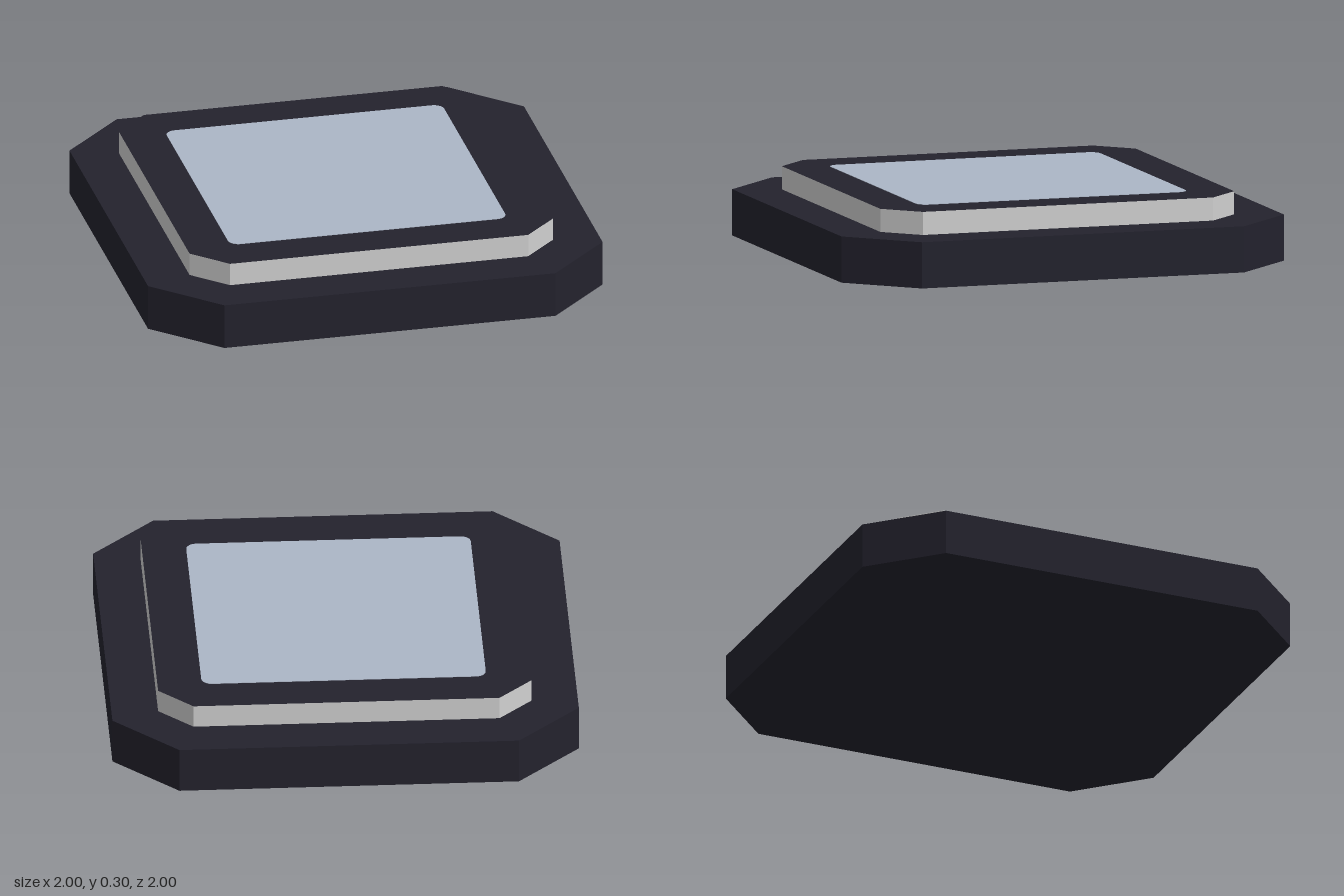
import * as THREE from 'three';

// Square outline with clipped corners: half = half width, flat = half length of each straight side
function clippedSquare(half, flat) {
  return new THREE.Shape([
    [flat, -half], [half, -flat], [half, flat], [flat, half],
    [-flat, half], [-half, flat], [-half, -flat], [-flat, -half],
  ].map(([x, y]) => new THREE.Vector2(x, y)));
}

// Square outline with rounded corners
function roundedSquare(half, radius) {
  const c = half - radius;
  const s = new THREE.Shape();
  s.absarc(c, -c, radius, -Math.PI / 2, 0);
  s.absarc(c, c, radius, 0, Math.PI / 2);
  s.absarc(-c, c, radius, Math.PI / 2, Math.PI);
  s.absarc(-c, -c, radius, Math.PI, Math.PI * 1.5);
  s.closePath();
  return s;
}

// Extrudes an outline upwards from height y
function slab(name, shape, y, height, materials) {
  const geometry = new THREE.ExtrudeGeometry(shape, { depth: height, bevelEnabled: false, curveSegments: 6 });
  geometry.rotateX(-Math.PI / 2);
  geometry.translate(0, y, 0);
  const mesh = new THREE.Mesh(geometry, materials);
  mesh.name = name;
  return mesh;
}

function flat(name, color) {
  const material = new THREE.MeshStandardMaterial({ color });
  material.name = name;
  return material;
}

export function createModel() {
  const dark = flat('darkCasing', 0x23222d);
  const pale = flat('paleRim', 0xd0d0d0);
  const glass = flat('blueGreyPanel', 0xacb6c6);

  const model = new THREE.Group();
  model.name = 'panelTile';
  model.add(
    // Wide dark base
    slab('base', clippedSquare(1, 0.728), 0, 0.2, dark),
    // Raised step: dark top, pale sides
    slab('raisedStep', clippedSquare(0.8, 0.656), 0.2, 0.1, [dark, pale]),
    // Thin inlaid panel
    slab('panel', roundedSquare(0.61, 0.045), 0.299, 0.003, glass),
  );
  return model;
}
